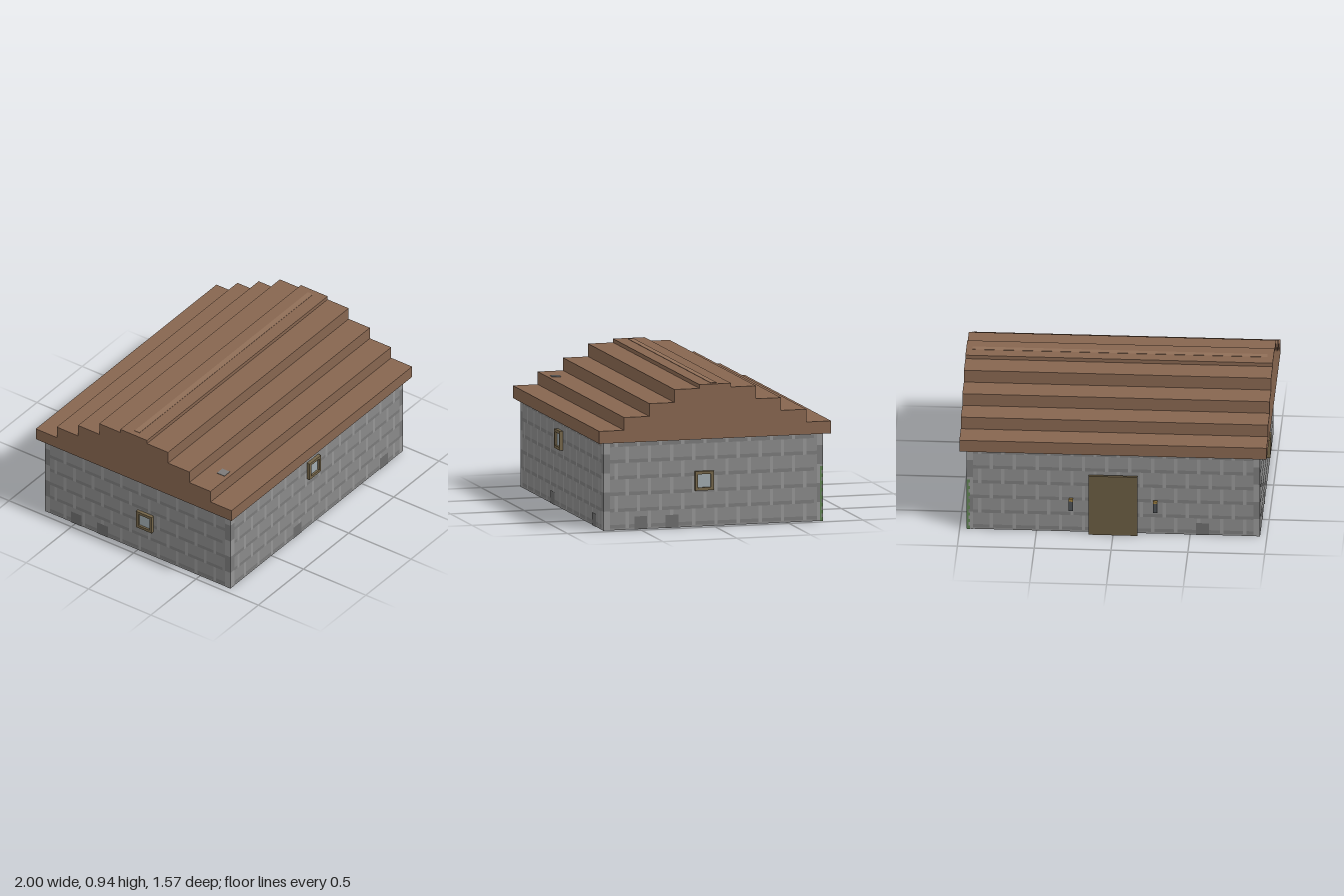
import * as THREE from 'three';
import { mergeGeometries } from 'three/addons/utils/BufferGeometryUtils.js';

const HX = 0.955, HZ = 0.743, WALL_H = 0.58;
const mat = (color) => new THREE.MeshStandardMaterial({ color });
const M = {
  stone: mat(0x898989), light: mat(0x959595), dark: mat(0x7a7a7a), block: mat(0x6c6c6c),
  roof: mat(0x86654f), ridge: mat(0x906f58), frame: mat(0x75664a), glass: mat(0x9fa9ae),
  door: mat(0x685a40), doorFrame: mat(0x7a5a45), iron: mat(0x4c5054), flame: mat(0xa08040),
  moss: mat(0x5f8152), patch: mat(0x7c7a78),
};

function add(parent, name, geometry, material) {
  const mesh = new THREE.Mesh(geometry, material);
  mesh.name = name;
  parent.add(mesh);
  return mesh;
}

// Box given by its two extreme corners
function box(parent, name, material, x0, x1, y0, y1, z0, z1) {
  const g = new THREE.BoxGeometry(x1 - x0, y1 - y0, z1 - z0);
  g.translate((x0 + x1) / 2, (y0 + y1) / 2, (z0 + z1) / 2);
  return add(parent, name, g, material);
}

// Flat rectangle just in front of a wall, in the wall's own frame
function tile(u0, u1, y0, y1, lift) {
  const g = new THREE.PlaneGeometry(u1 - u0, y1 - y0);
  g.translate((u0 + u1) / 2, (y0 + y1) / 2, lift);
  return g;
}

// Stone courses: pale upright joints, dark bed joints and corner stones
function stonework(wall, half) {
  const light = [], dark = [], rowH = 0.107, pitch = 0.15, jointW = 0.022, edge = half - 0.042;
  for (let row = 0; row < 6; row++) {
    const y0 = row * rowH + 0.012, y1 = Math.min(y0 + rowH, WALL_H);
    const start = -half - (row % 2) * pitch / 2;
    for (let u = start; u < edge; u += pitch) {
      if (u > -edge && u + jointW < edge) light.push(tile(u, u + jointW, y0, y1, 0.0015));
      const a = Math.max(u + jointW, -edge), b = Math.min(u + pitch, edge);
      if (b > a) dark.push(tile(a, b, y0, y0 + 0.023, 0.0015));
    }
  }
  for (const s of [-1, 1]) {
    const a = Math.min(s * edge, s * half), b = Math.max(s * edge, s * half);
    for (let k = 0; k < 5; k++) {
      const list = k % 2 ? dark : light;
      list.push(tile(a, b, k * 0.125, Math.min(k * 0.125 + 0.125, WALL_H), 0.0015));
    }
  }
  add(wall, 'paleJoints', mergeGeometries(light), M.light);
  add(wall, 'darkJoints', mergeGeometries(dark), M.dark);
}

// Framed window centred at (u, y) on a wall
function windowOn(wall, u, y) {
  const g = new THREE.Group();
  g.name = 'window';
  g.position.set(u, y, 0);
  const o = 0.063, i = 0.044, d = 0.023;
  box(g, 'frameTop', M.frame, -o, o, i, o, 0, d);
  box(g, 'frameBottom', M.frame, -o, o, -o, -i, 0, d);
  box(g, 'frameLeft', M.frame, -o, -i, -i, i, 0, d);
  box(g, 'frameRight', M.frame, i, o, -i, i, 0, d);
  box(g, 'pane', M.glass, -i, i, -i, i, 0, 0.009);
  wall.add(g);
}

// Patchy moss strip running up one edge of a wall
function mossOn(wall, u0, u1) {
  const parts = [], mid = (u0 + u1) / 2;
  for (let k = 0; k < 15; k++) {
    const y = k * 0.024;
    parts.push(k % 2 ? tile(u0, mid, y, y + 0.024, 0.003) : tile(u0, u1, y, y + 0.024, 0.003));
  }
  add(wall, 'moss', mergeGeometries(parts), M.moss);
}

export function createModel() {
  const house = new THREE.Group();
  house.name = 'stoneHouse';
  box(house, 'body', M.stone, -HX, HX, 0, WALL_H, -HZ, HZ);

  // Walls: local x runs along the wall, local z points outward
  const walls = [
    { name: 'frontWall', turn: 0, out: HZ, half: HX, win: [-0.045, 0.45], blocks: [-0.217, 0.743] },
    { name: 'leftWall', turn: Math.PI / 2, out: HX, half: HZ, win: [-0.065, 0.302], blocks: [-0.492, -0.28] },
    { name: 'backWall', turn: Math.PI, out: HZ, half: HX, blocks: [0.58] },
    { name: 'rightWall', turn: -Math.PI / 2, out: HX, half: HZ, win: [0.065, 0.258], blocks: [-0.492, -0.28] },
  ];
  for (const w of walls) {
    const wall = new THREE.Group();
    wall.name = w.name;
    wall.rotation.y = w.turn;
    wall.position.set(Math.sin(w.turn) * w.out, 0, Math.cos(w.turn) * w.out);
    stonework(wall, w.half);
    if (w.win) windowOn(wall, ...w.win);
    for (const u of w.blocks) add(wall, 'baseStone', tile(u - 0.043, u + 0.043, 0, 0.085, 0.003), M.block);
    if (w.name === 'leftWall') mossOn(wall, HZ - 0.022, HZ);
    if (w.name === 'backWall') {
      mossOn(wall, -HX, -HX + 0.022);
      // Door and wall lamps
      box(wall, 'doorFrame', M.doorFrame, -0.14, 0.14, 0, 0.405, 0, 0.022);
      box(wall, 'door', M.door, -0.16, 0.16, 0, 0.425, 0.022, 0.042);
      for (const s of [-0.274, 0.274]) {
        box(wall, 'lampHolder', M.iron, s - 0.014, s + 0.014, 0.17, 0.236, 0.022, 0.042);
        box(wall, 'lampFlame', M.flame, s - 0.014, s + 0.014, 0.236, 0.252, 0.022, 0.042);
      }
    }
    house.add(wall);
  }

  // Stepped roof: half profile of [half depth, top height], mirrored and extruded along x
  const steps = [[0.785, 0.662], [0.617, 0.746], [0.446, 0.83], [0.276, 0.915], [0.107, 0.94]];
  const side = [];
  let y = WALL_H;
  for (const [z, top] of steps) {
    side.push([z, y], [z, top]);
    y = top;
  }
  const outline = [...side, ...side.map(([z, h]) => [-z, h]).reverse()];
  const shape = new THREE.Shape(outline.map(([z, h]) => new THREE.Vector2(z, h)));
  const roof = new THREE.ExtrudeGeometry(shape, { depth: 2, bevelEnabled: false });
  roof.translate(0, 0, -1).rotateY(Math.PI / 2);
  add(house, 'roof', roof, M.roof);

  // Ridge strip and a single repaired spot, lying on the steps
  box(house, 'ridgeStrip', M.ridge, -0.96, 0.96, 0.935, 0.942, -0.022, 0.018);
  box(house, 'roofPatch', M.patch, -0.81, -0.75, 0.74, 0.749, 0.53, 0.59);
  return house;
}
